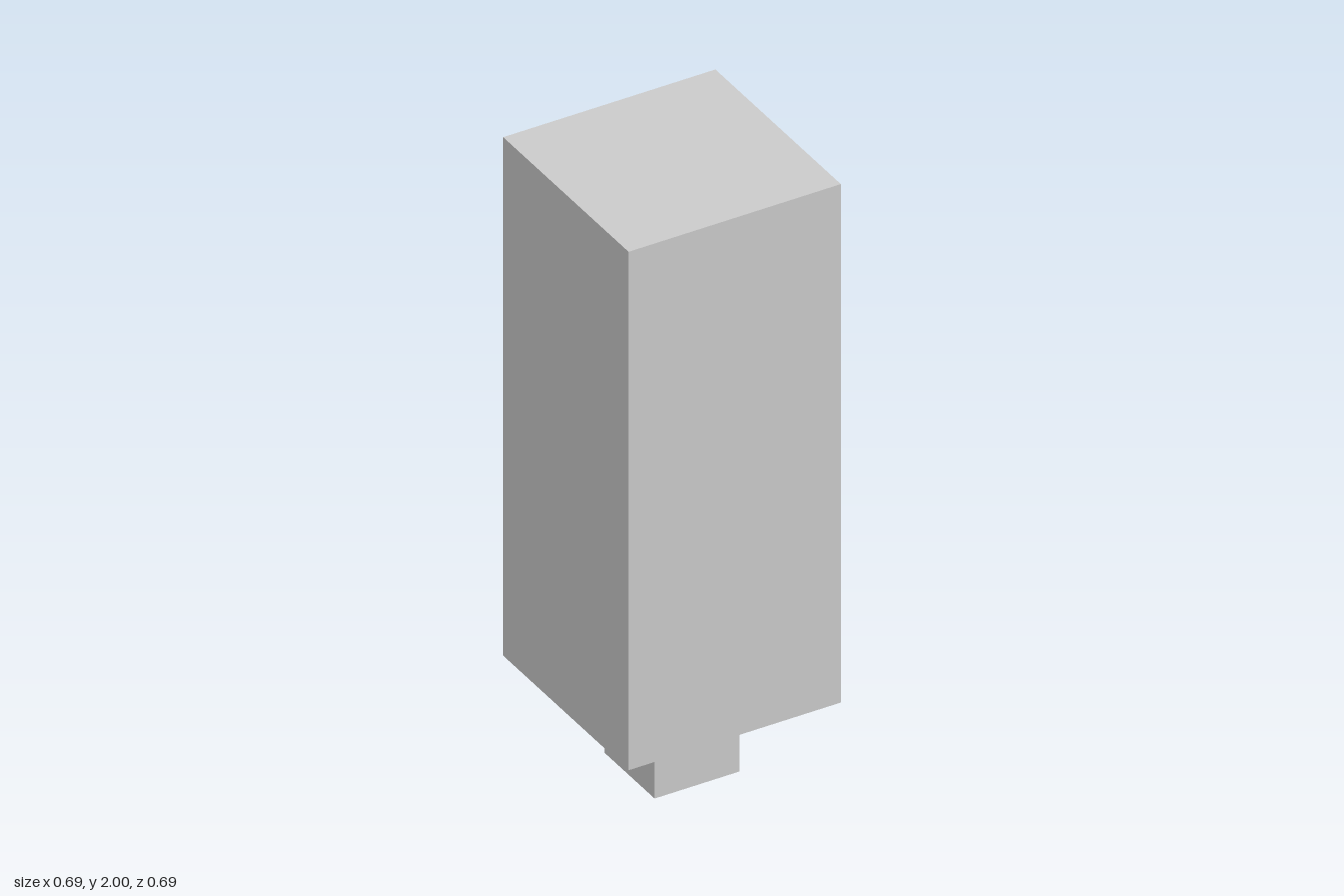
import * as THREE from 'three';

const BODY_WIDTH = 0.69;
const STEM_SIZE = 0.276;
const HEIGHT = 2;

export function createModel() {
  const model = new THREE.Group();
  const material = new THREE.MeshStandardMaterial({ color: 0xcccccc, flatShading: true });

  // Square block spanning bottom to top, centred on the y axis
  function addBlock(name, width, bottom, top) {
    const block = new THREE.Mesh(new THREE.BoxGeometry(width, top - bottom, width), material);
    block.name = name;
    block.position.y = (bottom + top) / 2;
    model.add(block);
  }

  // Cubic stem carrying the tall body
  addBlock('stem', STEM_SIZE, 0, STEM_SIZE);
  addBlock('body', BODY_WIDTH, STEM_SIZE, HEIGHT);

  return model;
}
